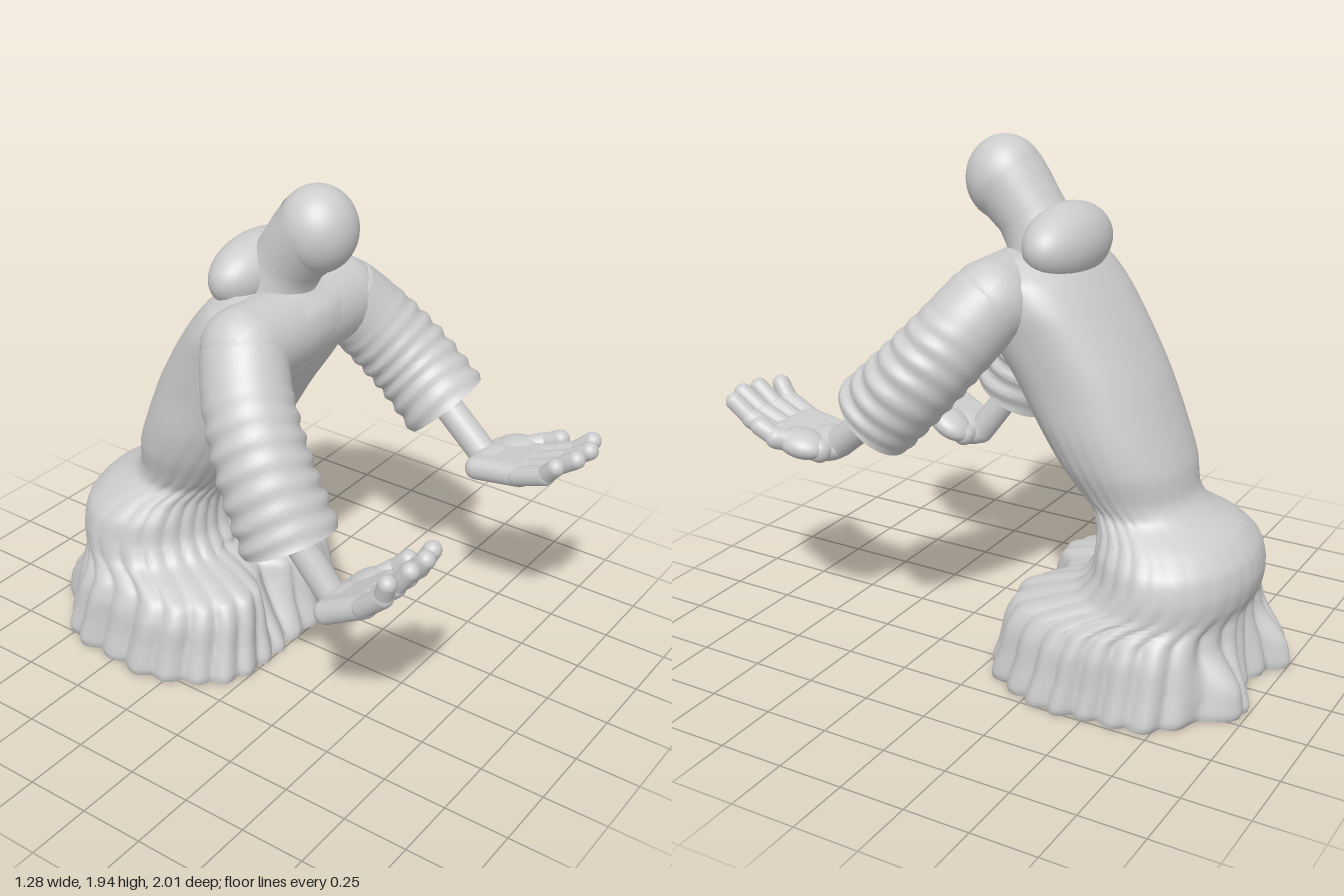
import * as THREE from 'three';
import { toCreasedNormals } from 'three/addons/utils/BufferGeometryUtils.js';
import { RoundedBoxGeometry } from 'three/addons/geometries/RoundedBoxGeometry.js';

const clay = new THREE.MeshStandardMaterial({ color: 0xcccccc, side: THREE.DoubleSide });
clay.name = 'light grey clay';
const V = (x, y, z) => new THREE.Vector3(x, y, z);
const smooth = THREE.MathUtils.smoothstep;
const MID = -0.025; // body centre line

function add(parent, name, geometry) {
  const m = new THREE.Mesh(geometry, clay);
  m.name = name;
  parent.add(m);
  return m;
}

// Closed rings of points, stacked and skinned
function skin(rows, sides, point) {
  const pos = [], index = [];
  for (let i = 0; i < rows; i++) {
    for (let j = 0; j < sides; j++) pos.push(...point(i, (j / sides) * Math.PI * 2).toArray());
  }
  for (let i = 0; i < rows - 1; i++) {
    for (let j = 0; j < sides; j++) {
      const k = (j + 1) % sides, a = i * sides, b = a + sides;
      index.push(a + j, b + j, a + k, a + k, b + j, b + k);
    }
  }
  const g = new THREE.BufferGeometry();
  g.setAttribute('position', new THREE.Float32BufferAttribute(pos, 3));
  g.setIndex(index);
  g.computeVertexNormals();
  return g;
}

// Round section along a curve; profile is a list of [t, radius]
function sweep(points, profile, sides, wobble = () => 0) {
  const curve = new THREE.CatmullRomCurve3(points);
  return skin(profile.length, sides, (i, a) => {
    const [t, r] = profile[i];
    const T = curve.getTangent(t);
    const U = V(1, 0, 0).addScaledVector(T, -T.x).normalize();
    const W = U.clone().cross(T);
    const q = r * (1 + wobble(t, a));
    return curve.getPoint(t).addScaledVector(U, Math.cos(a) * q).addScaledVector(W, Math.sin(a) * q);
  });
}

function ellipsoid(parent, name, p, s, rx = 0) {
  const m = add(parent, name, new THREE.SphereGeometry(1, 40, 28));
  m.position.set(...p);
  m.scale.set(...s);
  m.rotation.x = rx;
}

function capsule(parent, name, a, b, r) {
  const d = b.clone().sub(a);
  const m = add(parent, name, new THREE.CapsuleGeometry(r, d.length(), 8, 20));
  m.position.copy(a).addScaledVector(d, 0.5);
  m.quaternion.setFromUnitVectors(V(0, 1, 0), d.normalize());
}

// Leaning robe: y, half width, front z, back z, squareness, fold depth
const ROBE = [
  [0, 0.522, 0.015, -0.915, 2.8, 0.024],
  [0.03, 0.525, 0.015, -0.92, 2.8, 0.024],
  [0.12, 0.505, -0.01, -0.9, 2.8, 0.022],
  [0.22, 0.49, -0.025, -0.885, 2.7, 0.02],
  [0.29, 0.46, -0.05, -0.885, 2.5, 0.017],
  [0.33, 0.43, -0.14, -0.9, 2.3, 0.014],
  [0.37, 0.405, -0.27, -0.918, 2.1, 0.011],
  [0.44, 0.39, -0.325, -0.928, 2, 0.008],
  [0.52, 0.365, -0.335, -0.908, 2, 0.007],
  [0.59, 0.3, -0.325, -0.845, 2, 0.006],
  [0.65, 0.235, -0.285, -0.735, 2, 0.004],
  [0.71, 0.24, -0.24, -0.675, 2.1, 0.003],
  [0.82, 0.275, -0.165, -0.65, 2.2, 0.002],
  [0.95, 0.295, -0.085, -0.6, 2.2, 0.001],
  [1.12, 0.3, 0.01, -0.525, 2.3, 0],
  [1.28, 0.315, 0.11, -0.43, 2.4, 0],
  [1.4, 0.33, 0.155, -0.345, 2.4, 0],
  [1.49, 0.31, 0.14, -0.27, 2.3, 0],
  [1.555, 0.22, 0.07, -0.2, 2, 0],
];

function robe(parent) {
  const spline = (k) =>
    new THREE.CatmullRomCurve3(ROBE.map((r) => V(r[k], r[k + 1], r[k + 2])), false, 'catmullrom', 0.4);
  const c1 = spline(0), c2 = spline(3), n = 100;
  const g = skin(n + 3, 240, (i, a) => {
    const t = Math.min(Math.max((i - 1) / n, 0), 1);
    const { x: y, y: rx, z: zf } = c1.getPoint(t);
    const { x: zb, y: e, z: depth } = c2.getPoint(t);
    const open = i === 0 || i === n + 2 ? 0 : 1; // closes both ends
    const c = Math.cos(a), s = Math.sin(a), rz = (zf - zb) / 2;
    // rounded pleats that fade out over the smooth hips
    const fold = depth * (1 - 0.85 * smooth(-s, -0.3, 0.5) * smooth(y, 0.27, 0.36));
    const pleat = Math.abs(Math.sin(a * 14 + y * 4 + 0.8 * Math.sin(a * 3))) - 0.6;
    const r = (Math.abs(c / rx) ** e + Math.abs(s / rz) ** e) ** (-1 / e)
      + fold * (1.3 * pleat + 0.4 * Math.sin(a * 9 + y * 5));
    const x = r * c;
    let z = r * s;
    // valley between the knees, feet pushing out the back hem
    const valley = (0.035 + 0.085 * smooth(y, 0, 0.28)) * smooth(0.4 - y, 0, 0.1);
    if (s > 0) z -= valley * Math.exp(-((x / 0.1) ** 2)) * smooth(s, 0, 0.5);
    else z -= 0.085 * Math.exp(-(((Math.abs(x) - 0.22) / 0.09) ** 2)) * smooth(0.25 - y, 0, 0.16) * smooth(-s, 0.3, 0.8);
    return V(MID + x * open, Math.max(y, 0), (zf + zb) / 2 + z * open);
  });
  add(parent, 'robe', toCreasedNormals(g, 1.4));
}

// Wrinkled sleeve with a domed shoulder and an open, hollow cuff
function sleeve(parent, name, points, r0, r1) {
  const profile = [];
  for (let k = 0; k <= 90; k++) {
    const t = k / 90, dome = Math.max(0, 1 - t / 0.1);
    profile.push([t, Math.max(0.001, (r0 + (r1 - r0) * t) * Math.sqrt(1 - dome * dome))]);
  }
  profile.push([0.995, r1 * 0.92], [0.9, r1 * 0.85], [0.72, r1 * 0.7], [0.71, 0.001]);
  const wrinkle = (t, a) =>
    0.04 * smooth(t, 0.2, 0.55) *
    Math.sin(t * 62 + Math.sin(a * 2) * 1.3) * (0.65 + 0.35 * Math.cos(a * 2 + 1));
  add(parent, name, toCreasedNormals(sweep(points, profile, 56, wrinkle), 1.2));
}

// Upturned hand: wrist at the origin, fingers along +z, thumb on the +x side
function hand(parent, name, wrist, pitch) {
  const g = new THREE.Group();
  g.name = name;
  g.position.copy(wrist);
  g.rotation.x = -pitch;
  parent.add(g);
  add(g, 'palm', new RoundedBoxGeometry(0.265, 0.09, 0.27, 6, 0.044)).position.set(-0.012, 0, 0.12);
  ellipsoid(g, 'heel', [-0.01, -0.004, 0.05], [0.115, 0.058, 0.09]);
  ellipsoid(g, 'thumbPad', [0.085, 0.008, 0.1], [0.08, 0.052, 0.1]);
  [0.42, 0.45, 0.44, 0.4].forEach((len, k) => {
    const x = 0.088 - k * 0.067;
    const mid = V(x * 1.12, 0.03, 0.33);
    capsule(g, 'fingerBase', V(x, 0.002, 0.21), mid, 0.038);
    capsule(g, 'fingerTip', mid, V(x * 1.25, 0.078, len - 0.015), 0.034);
  });
  capsule(g, 'thumbBase', V(0.08, 0.01, 0.1), V(0.14, 0.02, 0.18), 0.042);
  capsule(g, 'thumbTip', V(0.14, 0.02, 0.18), V(0.15, 0.045, 0.25), 0.036);
}

export function createModel() {
  const model = new THREE.Group();
  model.name = 'kneelingRobedFigure';

  robe(model);

  // Shoulders, hood and head
  capsule(model, 'shoulders', V(-0.31, 1.41, 0), V(0.26, 1.41, 0), 0.155);
  ellipsoid(model, 'hood', [MID, 1.585, -0.15], [0.245, 0.14, 0.13], 0.3);
  add(model, 'neck', sweep([V(MID, 1.47, -0.1), V(MID, 1.64, -0.02), V(MID, 1.79, 0.1)],
    [[0, 0.18], [0.2, 0.158], [0.4, 0.133], [0.6, 0.129], [0.8, 0.139], [1, 0.144]], 40));
  ellipsoid(model, 'head', [MID, 1.787, 0.107], [0.143, 0.157, 0.145]);

  // Right arm, held lower
  sleeve(model, 'rightSleeve',
    [V(-0.29, 1.45, -0.02), V(-0.385, 1.26, 0.07), V(-0.445, 1.04, 0.19), V(-0.46, 0.81, 0.31)], 0.153, 0.178);
  capsule(model, 'rightForearm', V(-0.45, 0.92, 0.24), V(-0.41, 0.61, 0.46), 0.054);
  hand(model, 'rightHand', V(-0.4, 0.6, 0.465), 0.52);

  // Left arm, held higher
  sleeve(model, 'leftSleeve',
    [V(0.24, 1.45, -0.02), V(0.36, 1.3, 0.08), V(0.44, 1.14, 0.21), V(0.465, 0.975, 0.37)], 0.15, 0.168);
  capsule(model, 'leftForearm', V(0.465, 1.04, 0.3), V(0.45, 0.84, 0.54), 0.056);
  hand(model, 'leftHand', V(0.45, 0.82, 0.55), 0.16);

  return model;
}
